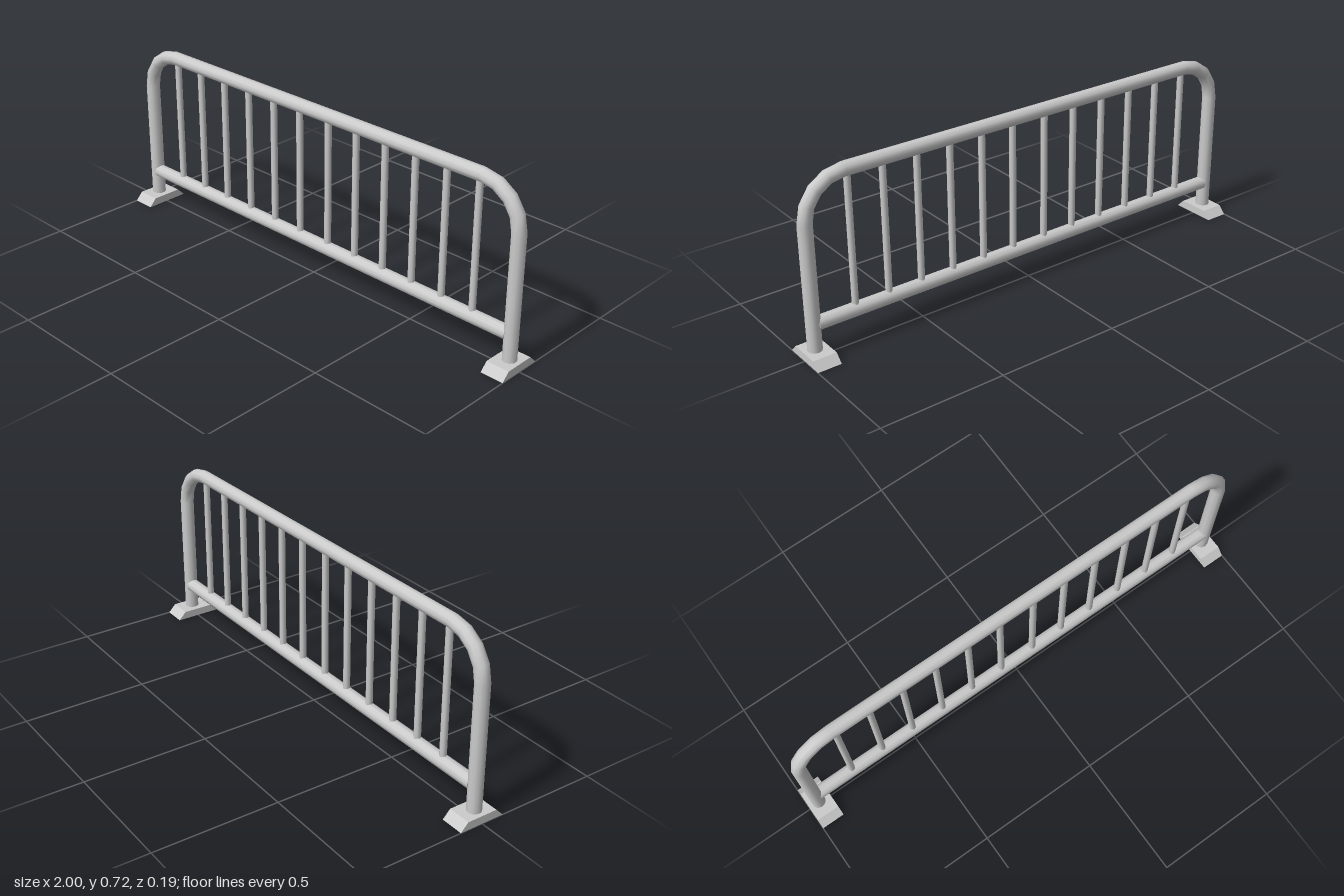
import * as THREE from 'three';

const POST_X = 0.956, TOP_Y = 0.69, BEND = 0.16, PIPE_R = 0.028, RAIL_Y = 0.135;
const FOOT_X = 0.9525, FOOT_W = 0.095, FOOT_H = 0.032;

// Hoop centre line: post, rounded corner, top rail, rounded corner, post.
// Stations sit only where the pipe bends, so straight runs stay one segment long.
class HoopCurve extends THREE.Curve {
  constructor(bendSteps) {
    super();
    const up = new THREE.Vector3(0, 1, 0), down = new THREE.Vector3(0, -1, 0);
    this.stations = [{ p: new THREE.Vector3(-POST_X, 0.015, 0), t: up }];
    for (const side of [-1, 1]) {
      for (let i = 0; i <= bendSteps; i++) {
        const a = (side < 0 ? Math.PI : Math.PI / 2) - (i / bendSteps) * Math.PI / 2;
        this.stations.push({
          p: new THREE.Vector3(
            side * (POST_X - BEND) + BEND * Math.cos(a),
            TOP_Y - BEND + BEND * Math.sin(a), 0),
          t: new THREE.Vector3(Math.sin(a), -Math.cos(a), 0),
        });
      }
    }
    this.stations.push({ p: new THREE.Vector3(POST_X, 0.015, 0), t: down });
  }
  get segments() { return this.stations.length - 1; }
  station(u) { return this.stations[Math.round(u * this.segments)]; }
  getPoint(u, target = new THREE.Vector3()) { return target.copy(this.station(u).p); }
  getPointAt(u, target) { return this.getPoint(u, target); }
  getTangentAt(u, target = new THREE.Vector3()) { return target.copy(this.station(u).t); }
}

export function createModel() {
  const group = new THREE.Group();
  const metal = new THREE.MeshStandardMaterial({ color: 0xcccccc });
  const add = (name, geometry, x = 0, y = 0, z = 0) => {
    const mesh = new THREE.Mesh(geometry, metal);
    mesh.name = name;
    mesh.position.set(x, y, z);
    group.add(mesh);
    return mesh;
  };

  // Outer hoop: both posts and the top rail in one bent pipe
  const hoop = new HoopCurve(4);
  add('hoopFrame', new THREE.TubeGeometry(hoop, hoop.segments, PIPE_R, 10, false));

  // Lower rail between the posts
  const rail = new THREE.CylinderGeometry(PIPE_R, PIPE_R, 1.885, 10).rotateZ(Math.PI / 2);
  add('lowerRail', rail, 0, RAIL_Y);

  // Twelve thin upright bars, mirrored about the middle
  const barHeight = TOP_Y - RAIL_Y;
  const bar = new THREE.CylinderGeometry(0.0135, 0.0135, barHeight, 8, 1, true);
  for (const side of [-1, 1]) {
    for (let i = 0; i < 6; i++) {
      add('uprightBar', bar, side * (0.075 + 0.1415 * i), RAIL_Y + barHeight / 2);
    }
  }

  // Feet: trapezoid section extruded across the width
  const section = new THREE.Shape([
    new THREE.Vector2(-0.094, 0), new THREE.Vector2(0.094, 0),
    new THREE.Vector2(0.063, FOOT_H), new THREE.Vector2(-0.063, FOOT_H),
  ]);
  const foot = new THREE.ExtrudeGeometry(section, { depth: FOOT_W, bevelEnabled: false })
    .translate(0, 0, -FOOT_W / 2)
    .rotateY(Math.PI / 2);
  add('rightFoot', foot, -FOOT_X);
  add('leftFoot', foot, FOOT_X);

  return group;
}
